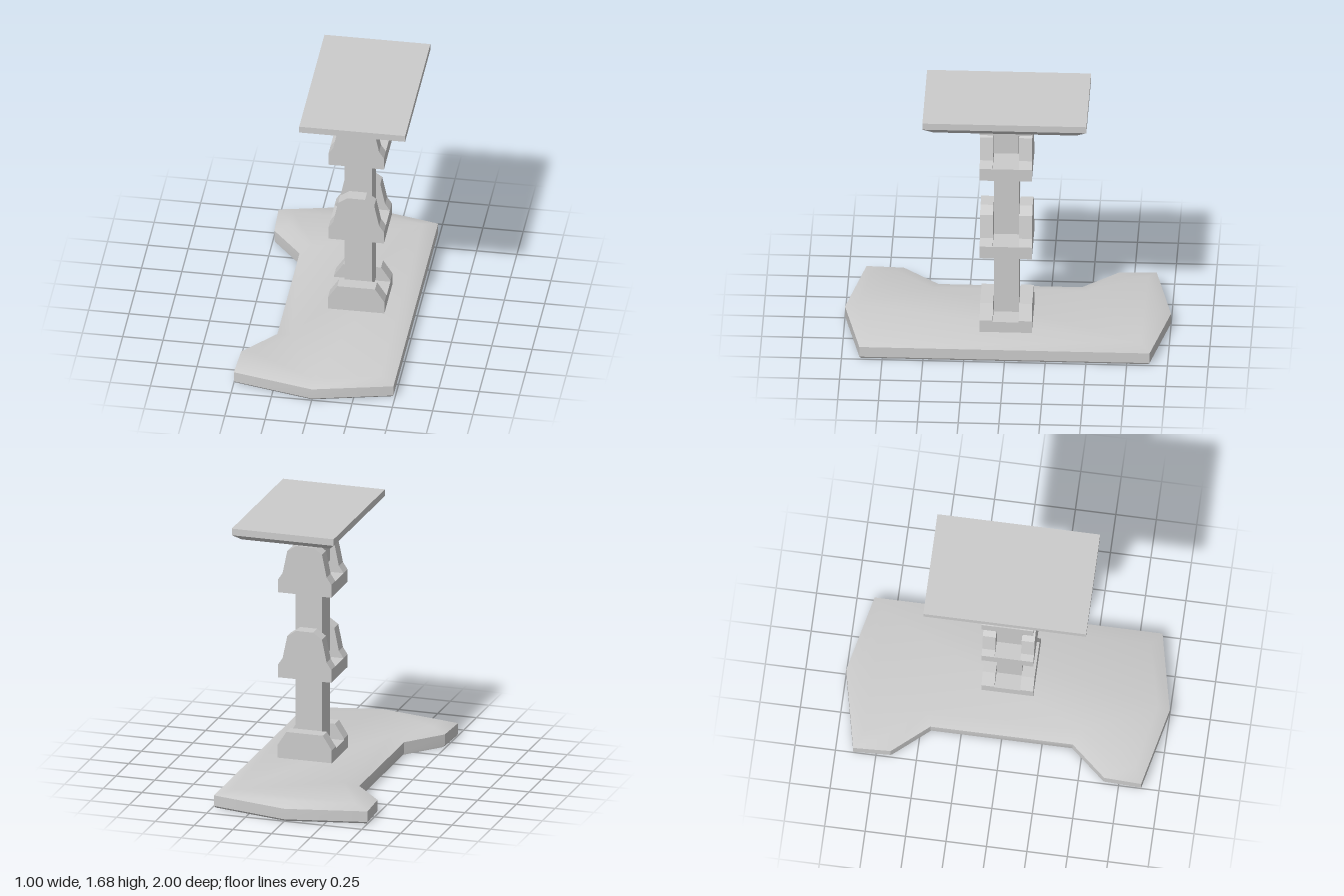
import * as THREE from 'three';
import { toCreasedNormals } from 'three/addons/utils/BufferGeometryUtils.js';

const MID = 0.145; // x of the post axis
const mat = new THREE.MeshStandardMaterial({ color: 0xcccccc });

function add(parent, name, geometry) {
  const mesh = new THREE.Mesh(geometry, mat);
  mesh.name = name;
  parent.add(mesh);
  return mesh;
}

function box(parent, name, x0, x1, y0, y1, z0, z1) {
  const g = new THREE.BoxGeometry(x1 - x0, y1 - y0, z1 - z0);
  g.translate((x0 + x1) / 2, (y0 + y1) / 2, (z0 + z1) / 2);
  return add(parent, name, g);
}

// Solid through horizontal rings, each { y, pts: [[x, z], ...] }, listed bottom to top
function loft(rings) {
  const pos = [];
  const put = (r, i) => pos.push(r.pts[i][0], r.y, r.pts[i][1]);
  const n = rings[0].pts.length;
  for (let k = 0; k < rings.length - 1; k++) {
    const a = rings[k], b = rings[k + 1];
    for (let i = 0; i < n; i++) {
      const j = (i + 1) % n;
      put(a, i); put(b, i); put(a, j);
      put(a, j); put(b, i); put(b, j);
    }
  }
  const cap = (r, flip) => {
    const pts = r.pts.map(([x, z]) => new THREE.Vector2(x, z));
    for (const [a, b, c] of THREE.ShapeUtils.triangulateShape(pts, [])) {
      put(r, a); put(r, flip ? c : b); put(r, flip ? b : c);
    }
  };
  cap(rings[0], false);
  cap(rings[rings.length - 1], true);
  const g = new THREE.BufferGeometry();
  g.setAttribute('position', new THREE.Float32BufferAttribute(pos, 3));
  return toCreasedNormals(g, 0.45);
}

const rect = (x0, x1, z) => [[x1, -z], [x1, z], [x0, z], [x0, -z]];

// U-shaped bracket: two profiled cheeks joined by a floor
function bracket(name, profile, floorY) {
  const group = new THREE.Group();
  group.name = name;
  const shape = new THREE.Shape(profile.map(([x, y]) => new THREE.Vector2(x, y)));
  for (const [label, z] of [['frontCheek', 0.08], ['backCheek', -0.16]]) {
    const g = new THREE.ExtrudeGeometry(shape, { depth: 0.08, bevelEnabled: false });
    add(group, label, g.translate(0, 0, z));
  }
  box(group, 'bracketFloor', profile[0][0], profile[1][0], profile[0][1], floorY, -0.08, 0.08);
  return group;
}

// Mirrored profile from half-widths, bottom to top
const symmetric = (half) => [
  [MID - half[0][0], half[0][1]],
  ...half.map(([w, y]) => [MID + w, y]),
  ...half.slice(1).reverse().map(([w, y]) => [MID - w, y]),
];

export function createModel() {
  const model = new THREE.Group();
  model.name = 'stand';

  // Base slab with pointed ends, a recess on one side and a shallow top bevel
  const outer = [[0.49, -0.89], [0.49, 0.89], [0, 1], [-0.5, 0.89], [-0.49, 0.66],
    [-0.3, 0.44], [-0.3, -0.44], [-0.49, -0.66], [-0.5, -0.89], [0, -1]];
  const inner = [[0.4, -0.83], [0.4, 0.83], [0, 0.925], [-0.4, 0.84], [-0.4, 0.7],
    [-0.21, 0.48], [-0.21, -0.48], [-0.4, -0.7], [-0.4, -0.84], [0, -0.925]];
  const under = outer.map(([x, z]) => [x * 0.985, z * 0.99]);
  add(model, 'base', loft([
    { y: 0, pts: under }, { y: 0.012, pts: outer },
    { y: 0.08, pts: outer }, { y: 0.108, pts: inner },
  ]));

  // Foot bracket on the base
  model.add(bracket('footBracket',
    symmetric([[0.175, 0.1], [0.175, 0.19], [0.117, 0.28]]), 0.18));

  // Two arm segments, each carrying a joint bracket on top
  const joint = symmetric([[0.172, 0.628], [0.172, 0.71], [0.142, 0.755],
    [0.112, 0.9], [0.055, 0.94]]);
  for (let i = 0; i < 2; i++) {
    const lift = i * 0.55;
    const j = bracket('jointBracket', joint, 0.71);
    j.position.y = lift;
    model.add(j);
    box(model, 'arm', 0.06, 0.23, 0.203 + lift, 0.64 + lift, -0.077, 0.077);
  }

  // Neck, tapered head and mounting block
  box(model, 'neck', 0.06, 0.25, 1.335, 1.505, -0.077, 0.077);
  add(model, 'head', loft([
    { y: 1.495, pts: rect(0.06, 0.25, 0.08) },
    { y: 1.512, pts: rect(-0.003, 0.337, 0.16) },
    { y: 1.6, pts: rect(-0.003, 0.337, 0.16) },
  ]));

  // Top plate with a chamfered underside
  add(model, 'topPlate', loft([
    { y: 1.595, pts: rect(-0.11, 0.46, 0.44) },
    { y: 1.637, pts: rect(-0.155, 0.502, 0.503) },
    { y: 1.68, pts: rect(-0.155, 0.502, 0.503) },
  ]));

  return model;
}
